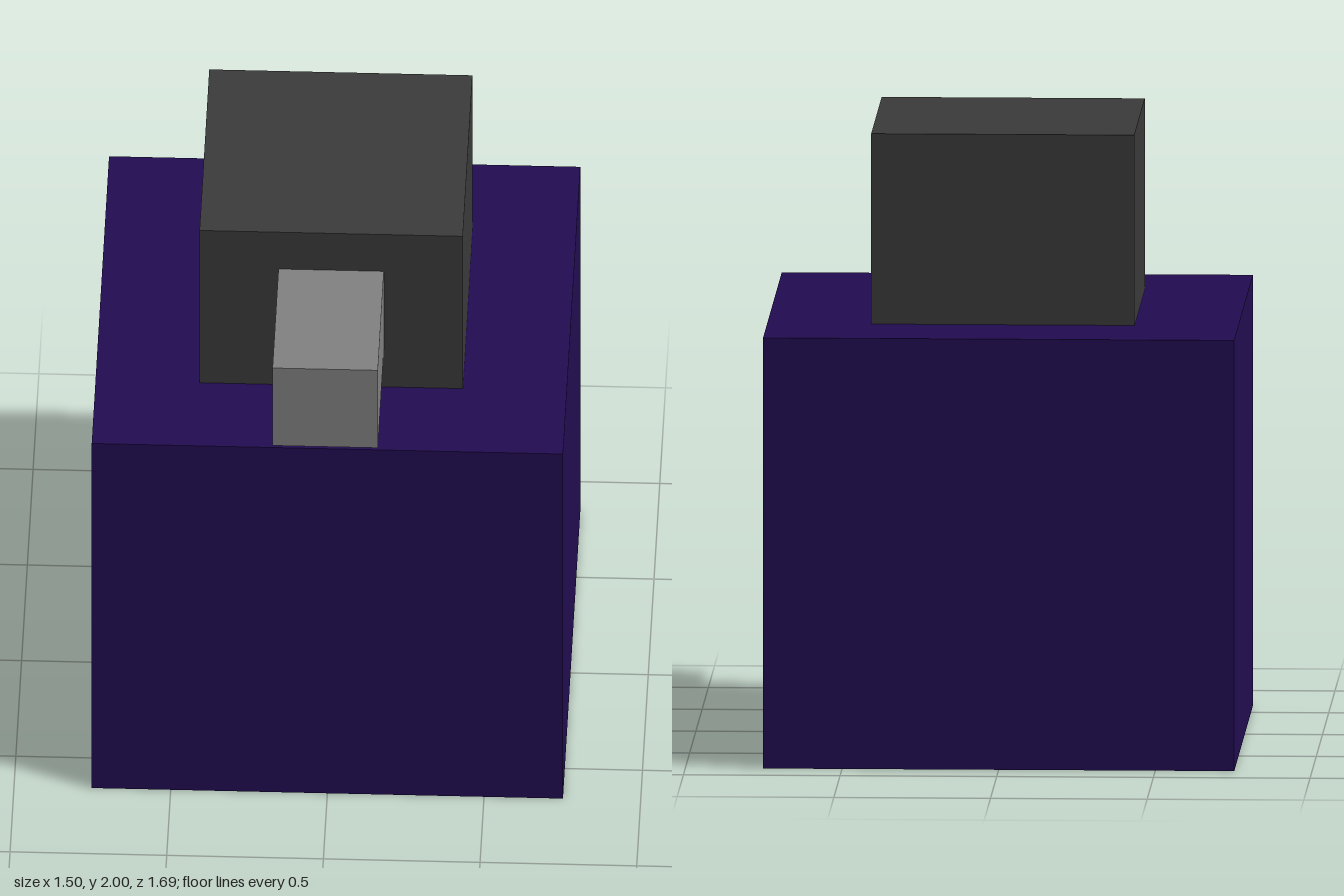
import * as THREE from 'three';

const material = (name, color) => {
  const m = new THREE.MeshStandardMaterial({ color });
  m.name = name;
  return m;
};

// Box given by its lower and upper corners
function block(name, mat, [x0, y0, z0], [x1, y1, z1]) {
  const mesh = new THREE.Mesh(new THREE.BoxGeometry(x1 - x0, y1 - y0, z1 - z0), mat);
  mesh.position.set((x0 + x1) / 2, (y0 + y1) / 2, (z0 + z1) / 2);
  mesh.name = name;
  return mesh;
}

export function createModel() {
  const group = new THREE.Group();
  group.name = 'blockTurret';

  const purple = material('deep purple', 0x220c52);
  const charcoal = material('charcoal', 0x3b3b3b);
  const grey = material('mid grey', 0x828282);

  group.add(
    // Large base cube
    block('base', purple, [-0.752, 0, -0.845], [0.752, 1.387, 0.657]),
    // Turret block resting on the base, set towards the back
    block('turret', charcoal, [-0.42, 1.387, -0.515], [0.42, 2, 0.327]),
    // Square barrel pointing forward
    block('barrel', grey, [-0.168, 1.54, 0.327], [0.168, 1.852, 0.845]),
  );
  return group;
}
